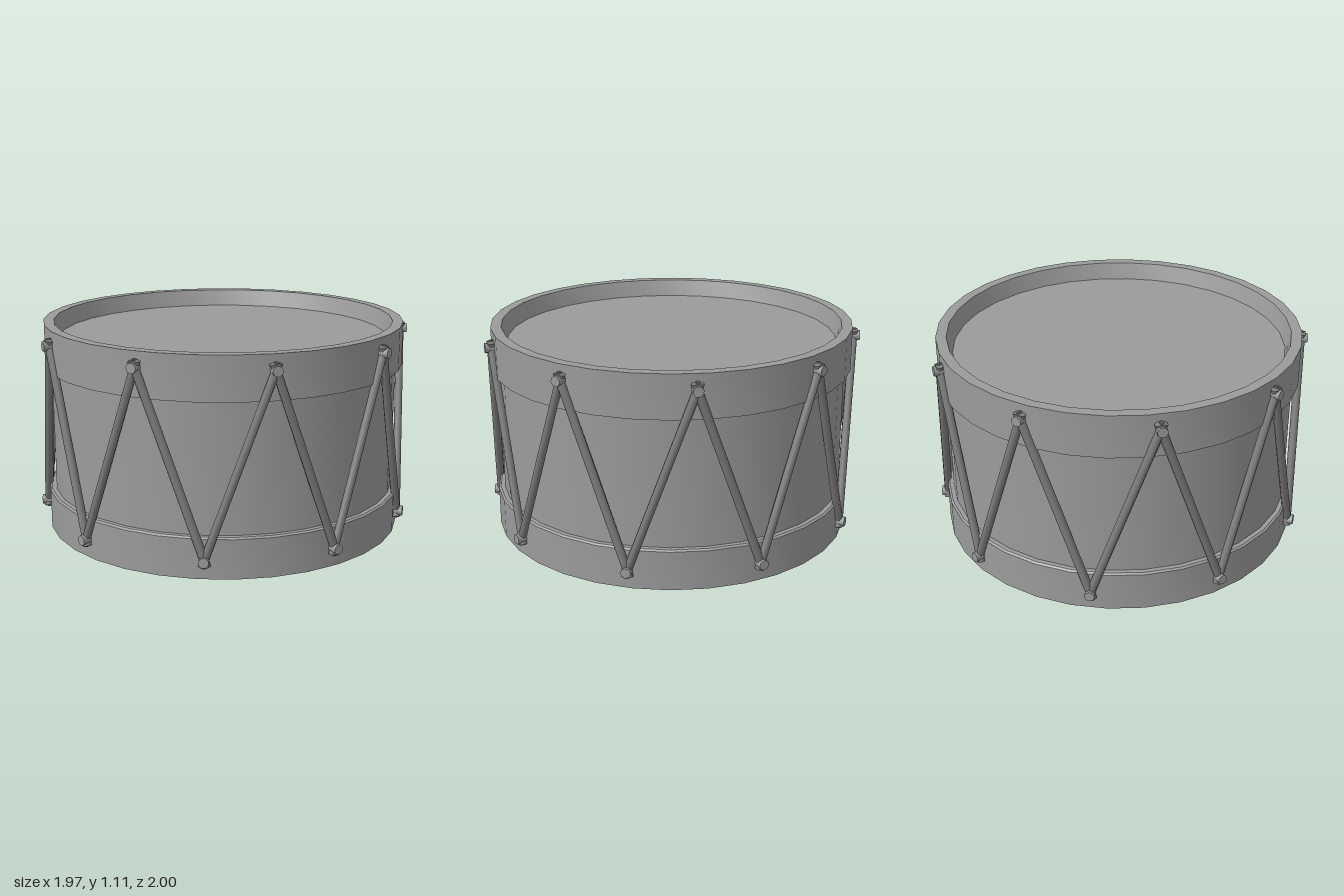
import * as THREE from 'three';
import { toCreasedNormals } from 'three/addons/utils/BufferGeometryUtils.js';

const drumMaterial = new THREE.MeshStandardMaterial({ color: 0x9b9b9b, side: THREE.DoubleSide });
const cordMaterial = new THREE.MeshStandardMaterial({ color: 0x7c7c7c });
const SEGMENTS = 32;
const PAIRS = 9; // upper pins; the lower ones sit halfway between
const TOP_Y = 1.03, BOTTOM_Y = 0.1;

function add(parent, name, geometry, material = drumMaterial) {
  const mesh = new THREE.Mesh(geometry, material);
  mesh.name = name;
  parent.add(mesh);
}

// Surface of revolution from [radius, height] pairs, listed bottom to top on the outside
function turned(points) {
  const profile = points.map(([r, y]) => new THREE.Vector2(r, y));
  return toCreasedNormals(new THREE.LatheGeometry(profile, SEGMENTS), 0.6);
}

function onCircle(angle, radius, y) {
  return new THREE.Vector3(Math.sin(angle) * radius, y, Math.cos(angle) * radius);
}

// Straight bar between two points, running a little past each end
function bar(from, to, radius, extra, sides) {
  const direction = to.clone().sub(from);
  const length = direction.length();
  const geometry = new THREE.CylinderGeometry(radius, radius, length + extra * 2, sides);
  const turn = new THREE.Quaternion().setFromUnitVectors(
    new THREE.Vector3(0, 1, 0), direction.divideScalar(length));
  geometry.applyQuaternion(turn);
  const mid = from.clone().add(to).multiplyScalar(0.5);
  geometry.translate(mid.x, mid.y, mid.z);
  return toCreasedNormals(geometry, 0.9);
}

export function createModel() {
  const drum = new THREE.Group();
  drum.name = 'drum';

  // Shell and its two hoops
  add(drum, 'shell', turned([[0.922, 0.19], [0.922, 0.9]]));
  add(drum, 'bottomHoop', turned([[0, 0], [0.955, 0], [0.955, 0.205], [0.945, 0.213], [0.92, 0.213]]));
  add(drum, 'topHoop', turned([
    [0.92, 0.88], [0.955, 0.88], [0.955, 1.105], [0.9, 1.105], [0.873, 1.015],
  ]));

  // Drumhead, sunk below the upper rim
  add(drum, 'drumhead', turned([[0.875, 1.015], [0, 1.015]]));

  // Zigzag cords and the pins that hold them
  const cords = new THREE.Group();
  cords.name = 'cords';
  const pins = new THREE.Group();
  pins.name = 'pins';
  drum.add(cords, pins);
  for (let i = 0; i < PAIRS * 2; i++) {
    const angle = (i * Math.PI) / PAIRS;
    const next = ((i + 1) * Math.PI) / PAIRS;
    const y = i % 2 ? BOTTOM_Y : TOP_Y;
    const nextY = i % 2 ? TOP_Y : BOTTOM_Y;
    add(cords, 'cord', bar(onCircle(angle, 0.964, y), onCircle(next, 0.964, nextY), 0.022, 0.035, 8), cordMaterial);
    add(pins, 'pin', bar(onCircle(angle, 0.93, y), onCircle(angle, 0.998, y), 0.027, 0, 8));
  }
  return drum;
}
